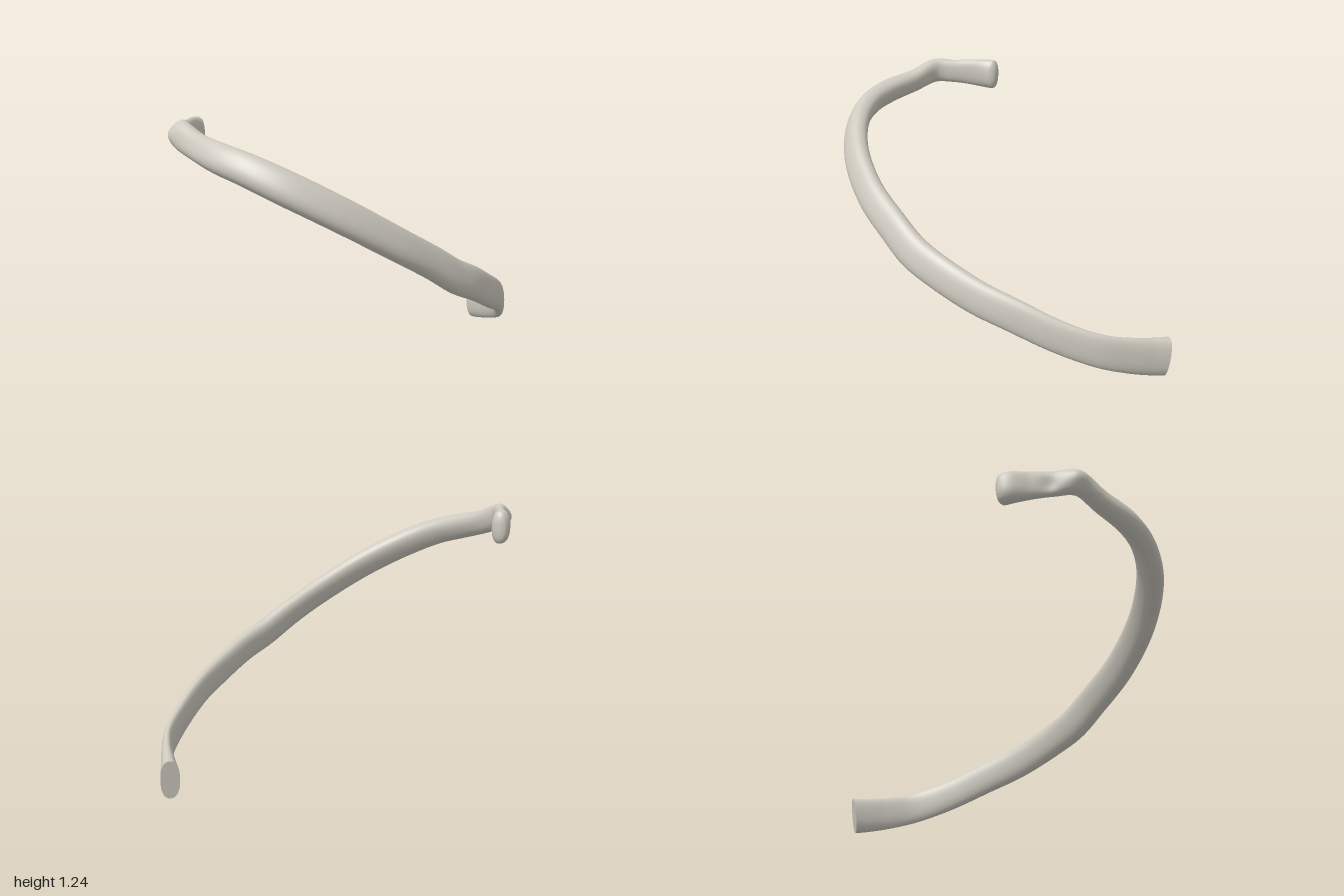
import * as THREE from 'three';

// Stations from the head, round the curve, to the cut end:
// centre x, y, z, half height, half thickness, inward lean in degrees
const STATIONS = [
  [-0.585, 1.145, 0.62, 0.078, 0.034, 0],
  [-0.57, 1.147, 0.67, 0.08, 0.044, 0],
  [-0.50, 1.157, 0.745, 0.071, 0.03, 0],
  [-0.43, 1.162, 0.82, 0.063, 0.031, 0],
  [-0.36, 1.165, 0.895, 0.066, 0.042, 10],
  [-0.22, 1.122, 0.915, 0.062, 0.048, 22],
  [-0.05, 1.085, 0.928, 0.068, 0.055, 30],
  [0.10, 1.045, 0.90, 0.072, 0.055, 31],
  [0.25, 0.975, 0.82, 0.077, 0.054, 30],
  [0.40, 0.86, 0.65, 0.079, 0.05, 28],
  [0.50, 0.72, 0.42, 0.08, 0.047, 25],
  [0.535, 0.60, 0.20, 0.082, 0.046, 21],
  [0.543, 0.515, 0.05, 0.084, 0.046, 17],
  [0.53, 0.455, -0.10, 0.083, 0.044, 12],
  [0.475, 0.37, -0.30, 0.082, 0.038, 8],
  [0.40, 0.305, -0.47, 0.08, 0.033, 5],
  [0.29, 0.22, -0.65, 0.078, 0.028, 2],
  [0.17, 0.158, -0.79, 0.08, 0.025, 0],
  [0.05, 0.122, -0.87, 0.086, 0.029, 0],
  [-0.05, 0.1, -0.92, 0.091, 0.037, 0],
  [-0.113, 0.09, -0.95, 0.094, 0.044, 0],
];
const RINGS = 200, SIDES = 32;

// Local swellings and hollows: centre, radius, sideways push
const BUMPS = [
  { at: new THREE.Vector3(-0.385, 1.17, 0.93), r: 0.045, push: 0.022 },
  { at: new THREE.Vector3(-0.46, 1.14, 0.82), r: 0.04, push: -0.012 },
];

// Sweep a rounded section along the curve
function buildRings() {
  const path = new THREE.CatmullRomCurve3(STATIONS.map(s => new THREE.Vector3(s[0], s[1], s[2])));
  const size = new THREE.CatmullRomCurve3(
    STATIONS.map(s => new THREE.Vector3(s[3], s[4], THREE.MathUtils.degToRad(s[5]))), false, 'catmullrom', 0.5);
  const rings = [];
  for (let i = 0; i <= RINGS; i++) {
    // rings crowd together at the head so that it closes round
    const k = i / RINGS, t = k < 0.06 ? k * k / 0.12 : k - 0.03;
    const u = t / 0.97;
    const c = path.getPoint(u), T = path.getTangent(u), s = size.getPoint(u);
    const up = new THREE.Vector3(0, 1, 0).addScaledVector(T, -T.y).normalize();
    const out = new THREE.Vector3().crossVectors(T, up);
    const U = up.clone().multiplyScalar(Math.cos(s.z)).addScaledVector(out, -Math.sin(s.z));
    const N = out.clone().multiplyScalar(Math.cos(s.z)).addScaledVector(up, Math.sin(s.z));
    const e = Math.min(1, u / 0.028), close = Math.pow(1 - (1 - e) * (1 - e), 0.4);
    const ring = [];
    for (let j = 0; j < SIDES; j++) {
      const a = j / SIDES * Math.PI * 2, ca = Math.cos(a), sa = Math.sin(a);
      const p = c.clone()
        .addScaledVector(N, Math.sign(ca) * Math.pow(Math.abs(ca), 0.85) * s.y * close)
        .addScaledVector(U, Math.sign(sa) * Math.pow(Math.abs(sa), 0.85) * s.x * close);
      for (const b of BUMPS) {
        const d = p.distanceTo(b.at) / b.r;
        if (ca > 0) p.addScaledVector(out, b.push * ca * Math.exp(-d * d));
      }
      ring.push(p);
    }
    rings.push(ring);
  }
  return rings;
}

function geometryFrom(points, index) {
  const g = new THREE.BufferGeometry().setFromPoints(points);
  g.setIndex(index);
  g.computeVertexNormals();
  return g;
}

export function createModel() {
  const group = new THREE.Group();
  group.name = 'ribBone';
  const bone = new THREE.MeshStandardMaterial({ color: 0xcecac0 });
  bone.name = 'bone';
  const rings = buildRings();

  // Shaft with head, neck and tubercle
  const index = [];
  for (let i = 0; i < RINGS; i++) {
    for (let j = 0; j < SIDES; j++) {
      const n = (j + 1) % SIDES;
      const a = i * SIDES + j, b = i * SIDES + n, c = a + SIDES, d = b + SIDES;
      index.push(a, c, b, b, c, d);
    }
  }
  const shaft = new THREE.Mesh(geometryFrom(rings.flat(), index), bone);
  shaft.name = 'shaft';

  // Flat cut face at the far end
  const last = rings[RINGS], centre = new THREE.Vector3();
  last.forEach(p => centre.addScaledVector(p, 1 / SIDES));
  const fan = [];
  for (let j = 0; j < SIDES; j++) fan.push(SIDES, (j + 1) % SIDES, j);
  const cutEnd = new THREE.Mesh(geometryFrom([...last, centre], fan), bone);
  cutEnd.name = 'cutEnd';

  group.add(shaft, cutEnd);
  return group;
}
